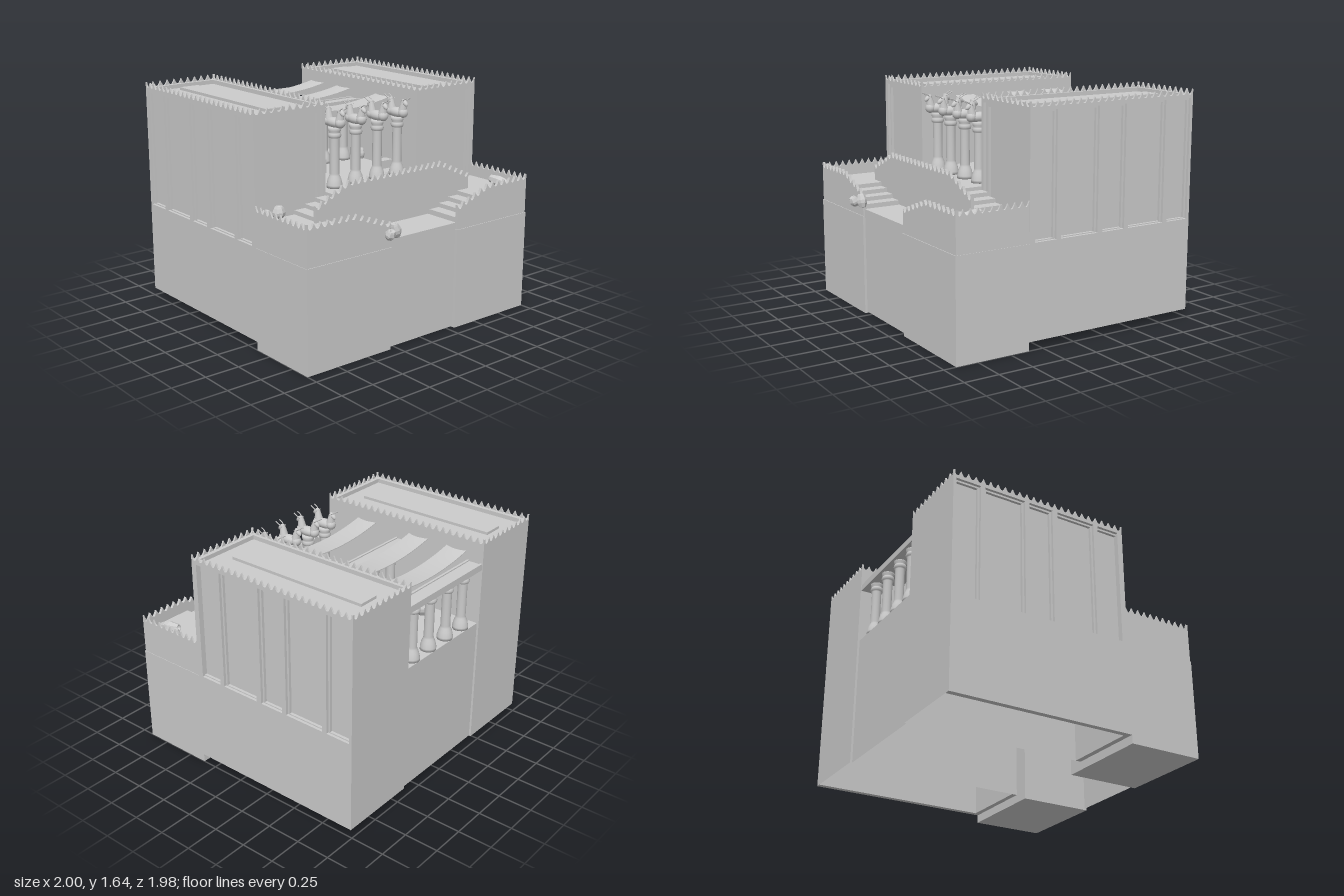
import * as THREE from 'three';

const mat = new THREE.MeshStandardMaterial({ color: 0xcccccc });
const flat = new THREE.MeshStandardMaterial({ color: 0xcccccc, flatShading: true });
const open = new THREE.MeshStandardMaterial({ color: 0xcccccc, side: THREE.DoubleSide });

// Box face numbers used to leave shells open
const BOTTOM = 3, FRONT = 4, BACK = 5;

export function createModel() {
  const root = new THREE.Group();

  const add = (name, geo, x = 0, y = 0, z = 0, m = mat, parent = root) => {
    const mesh = new THREE.Mesh(geo, m);
    mesh.name = name;
    mesh.position.set(x, y, z);
    parent.add(mesh);
    return mesh;
  };

  // Box given by its limits; omitted faces leave it an open shell
  const box = (name, xa, xb, y0, y1, z0, z1, omit = []) => {
    const geo = new THREE.BoxGeometry(Math.abs(xb - xa), y1 - y0, z1 - z0);
    geo.setIndex(Array.from(geo.index.array).filter((_, i) => !omit.includes(Math.floor(i / 6))));
    geo.clearGroups();
    return add(name, geo, (xa + xb) / 2, (y0 + y1) / 2, (z0 + z1) / 2, omit.length ? open : mat);
  };

  // Wall strip with pointed merlons and rounded notches; base(u) is the notch height
  const merlons = (u0, u1, bottom, base, depth = 0.012) => {
    const n = Math.round((u1 - u0) / 0.056), k = 6;
    const shape = new THREE.Shape().moveTo(u0, bottom);
    for (let i = 0; i <= n * k; i++) {
      const u = u0 + (u1 - u0) * i / (n * k);
      shape.lineTo(u, base(u) + 0.04 * (1 - Math.abs(Math.sin(Math.PI * i / k))));
    }
    shape.lineTo(u1, bottom);
    return new THREE.ExtrudeGeometry(shape, { depth, bevelEnabled: false });
  };

  // Wall slab with rectangular openings [u0, u1, y0, y1], shrunk by inset
  const panelWall = (u0, u1, y0, y1, holes, inset) => {
    const rect = (path, a, b, c, d) => path.moveTo(a, c).lineTo(b, c).lineTo(b, d).lineTo(a, d).closePath();
    const shape = rect(new THREE.Shape(), u0, u1, y0, y1);
    for (const [a, b, c, d] of holes)
      shape.holes.push(rect(new THREE.Path(), a + inset, b - inset, c + inset / 2, d - inset));
    return new THREE.ExtrudeGeometry(shape, { depth: 0.02, bevelEnabled: false });
  };

  const sidePanels = [[0.15, 0.335], [-0.185, 0.115], [-0.41, -0.225], [-0.75, -0.445], [-0.97, -0.785]];
  const IN = 0.416;

  for (const s of [1, -1]) {
    const side = s > 0 ? 'left' : 'right';
    const span = (a, b) => (s > 0 ? [a, b] : [-b, -a]);

    // Tower with stepped recessed panels
    box(side + 'TowerCore', s * IN, s * 0.96, 0.06, 1.57, -0.99, 0.32, [BOTTOM]);
    const zHoles = sidePanels.map(([a, b]) => [...(s > 0 ? [-b, -a] : [a, b]), 0.725, 1.575]);
    const [w0, w1] = s > 0 ? [-0.36, 0.99] : [-0.99, 0.36];
    const [f0, f1] = span(IN, 1), [h0, h1] = span(0.443, 0.977);
    for (const layer of [0, 1]) {
      add(side + 'TowerSideWall', panelWall(w0, w1, 0.06, 1.6, zHoles, layer * 0.014).rotateY(s * Math.PI / 2),
        s * (0.98 - 0.02 * layer));
      add(side + 'TowerFrontWall', panelWall(f0, f1, 0.06, 1.6, [[h0, h1, 0.725, 1.575]], layer * 0.028),
        0, 0, 0.34 - 0.02 * layer);
    }

    // Roof ledges along the other two edges, and the raised roof slab
    box(side + 'RoofLedge', s * IN, s * (IN + 0.035), 1.56, 1.6, -0.99, 0.32);
    box(side + 'RoofLedge', s * IN, s * 0.96, 1.56, 1.6, -0.99, -0.952);
    box(side + 'RoofSlab', s * 0.63, s * 0.78, 1.56, 1.59, -0.88, 0.2);

    // Tower battlements on all four edges
    const top = () => 1.597;
    for (const z of [-0.99, 0.348]) add(side + 'TowerBattlement', merlons(f0, f1, 1.58, top), 0, 0, z);
    for (const x of [IN, 0.988])
      add(side + 'TowerBattlement', merlons(-0.36, 0.99, 1.58, top).rotateY(Math.PI / 2), s > 0 ? x : -x - 0.012);

    // Front terrace block
    box(side + 'TerraceBase', s * 0.3, s, 0, 0.72, 0.36, 0.91);
    box(side + 'TerraceFloor', s * 0.59, s * 0.99, 0.71, 0.89, 0.36, 0.9);
    box(side + 'TerraceBackFloor', s * IN, s * 0.6, 0.71, 0.89, 0.36, 0.61);

    // Lower stairs from the landing, upper stairs to the courtyard
    for (let i = 0; i < 3; i++) {
      const x = 0.32 + 0.09 * i, x2 = IN + 0.088 * i;
      box(side + 'LowerStep', s * x, s * (x + 0.09), 0.71, 0.8 + 0.03 * i, 0.6, 0.89);
      box(side + 'UpperStep', s * x2, s * (x2 + 0.088), 0.88, 0.975 - 0.028 * i, 0.36, 0.6);
    }

    // Terrace parapets, sloping down beside the landing
    const [p0, p1] = span(0.305, 0.997);
    add(side + 'FrontParapet', merlons(p0, p1, 0.71,
      (u) => 0.855 + 0.11 * THREE.MathUtils.clamp((Math.abs(u) - 0.31) / 0.3, 0, 1), 0.02), 0, 0, 0.885);
    add(side + 'SideParapet', merlons(-0.905, -0.36, 0.71, () => 0.965).rotateY(Math.PI / 2),
      s > 0 ? 0.985 : -0.997);
  }

  // Central gate block, courtyard and stair wall
  box('frontLanding', -0.305, 0.305, 0.01, 0.77, 0.36, 0.893, [BOTTOM, BACK]);
  box('courtyard', -IN, IN, 0.06, 1, -0.975, 0.36, [BOTTOM, FRONT]);
  box('courtyardFront', -IN, IN, 0.74, 1, 0.35, 0.6);
  add('stairWall', merlons(-0.7, 0.7, 0.71,
    (u) => 0.965 + 0.13 * THREE.MathUtils.clamp((0.7 - Math.abs(u)) / 0.28, 0, 1), 0.02), 0, 0, 0.595);

  // Columns in three rows
  const profile = [[0, 0], [0.056, 0], [0.056, 0.02], [0.047, 0.06], [0.036, 0.085], [0.034, 0.1], [0.034, 0.348],
    [0.042, 0.352], [0.047, 0.368], [0.042, 0.382], [0.037, 0.388], [0.045, 0.4], [0.046, 0.425], [0, 0.425]]
    .map(([r, y]) => new THREE.Vector2(r, y));
  const columnGeo = new THREE.LatheGeometry(profile, 16);
  const columnX = [-0.288, -0.1, 0.097, 0.285];
  for (const x of columnX)
    for (const z of [0.3, -0.31, -0.92]) add('column', columnGeo, x, 1, z);

  // Double bull capitals on the front row
  const ball = new THREE.SphereGeometry(1, 12, 8);
  const neck = new THREE.CylinderGeometry(0.018, 0.036, 0.09, 10);
  for (const x of columnX) {
    const bull = new THREE.Group();
    bull.name = 'bullCapital';
    bull.position.set(x, 1.42, 0.3);
    const blob = (name, y, z, sx, sy, sz, tilt = 0) => {
      const m = add(name, ball, 0, y, z, mat, bull);
      m.scale.set(sx, sy, sz);
      m.rotation.x = tilt;
    };
    blob('bullBody', 0.034, 0, 0.041, 0.036, 0.088);
    for (const d of [1, -1]) {
      blob('bullChest', 0.038, d * 0.062, 0.038, 0.036, 0.034);
      add('bullNeck', neck, 0, 0.078, d * 0.06, mat, bull).rotation.x = d * 0.15;
      blob('bullHead', 0.112, d * 0.078, 0.018, 0.017, 0.034, d * 0.7);
      for (const e of [1, -1]) {
        const ear = add('bullEar', new THREE.ConeGeometry(0.006, 0.026, 5), e * 0.02, 0.122, d * 0.062, flat, bull);
        ear.rotation.z = -e;
        const curve = new THREE.QuadraticBezierCurve3(new THREE.Vector3(e * 0.008, 0.12, d * 0.068),
          new THREE.Vector3(e * 0.025, 0.135, d * 0.085), new THREE.Vector3(e * 0.019, 0.15, d * 0.115));
        add('bullHorn', new THREE.TubeGeometry(curve, 5, 0.004, 5), 0, 0, 0, mat, bull);
      }
    }
    root.add(bull);
  }

  // Cross beams with edge rails on the rear rows
  for (const z of [-0.925, -0.318]) {
    box('beam', -IN, IN, 1.412, 1.45, z - 0.045, z + 0.045);
    for (const d of [-0.052, 0.052]) box('beamRail', -IN, IN, 1.41, 1.458, z + d - 0.008, z + d + 0.008);
  }

  // Sagging awnings with slightly hollowed ends
  for (const z of [-0.775, -0.455, 0]) {
    const geo = new THREE.BoxGeometry(0.82, 0.006, 0.16, 20, 1, 6);
    const p = geo.attributes.position;
    for (let i = 0; i < p.count; i++) {
      const t = p.getX(i) / 0.41, v = p.getZ(i) / 0.08;
      p.setX(i, p.getX(i) * (1 - 0.045 * (1 - v * v)));
      p.setY(i, p.getY(i) + 1.473 + 0.045 * t * t);
    }
    geo.computeVertexNormals();
    add('awning', geo, 0, 0, z);
  }

  // Faceted jars
  const jarGeo = new THREE.LatheGeometry([[0, -1], [0.5, -1], [0.95, -0.35], [1, 0.1], [0.75, 0.75], [0.6, 1], [0.45, 1], [0, 0.6]]
    .map(([r, y]) => new THREE.Vector2(r, y)), 7);
  const jar = (x, y, z, r, h, rx = 0, rz = 0) => {
    const m = add('jar', jarGeo, x, y, z, flat);
    m.scale.set(r, h, r);
    m.rotation.set(rx, 0, rz);
  };
  jar(-0.285, 1.055, -0.6, 0.053, 0.055);
  jar(-0.09, 1.04, -0.565, 0.04, 0.04);
  jar(0.4, 1.04, -0.23, 0.03, 0.04);
  jar(-0.92, 0.927, 0.375, 0.038, 0.037);
  jar(-0.82, 0.932, 0.375, 0.046, 0.042);
  jar(-0.35, 0.825, 0.95, 0.037, 0.035, 0.5);
  jar(-0.28, 0.838, 0.925, 0.037, 0.05, 0, 0.3);
  jar(0.93, 0.922, 0.645, 0.031, 0.032);
  jar(0.9, 0.93, 0.74, 0.042, 0.085, -1.4, 0.15);

  // Courtyard chests
  box('chest', -0.265, -0.09, 1, 1.1, -0.14, -0.04);
  box('bench', 0.28, 0.4, 1, 1.06, 0.05, 0.125);
  box('tiltedCrate', 0.04, 0.2, 0.99, 1.07, -0.68, -0.58).rotation.set(0.25, 0.6, 0.1);

  return root;
}
